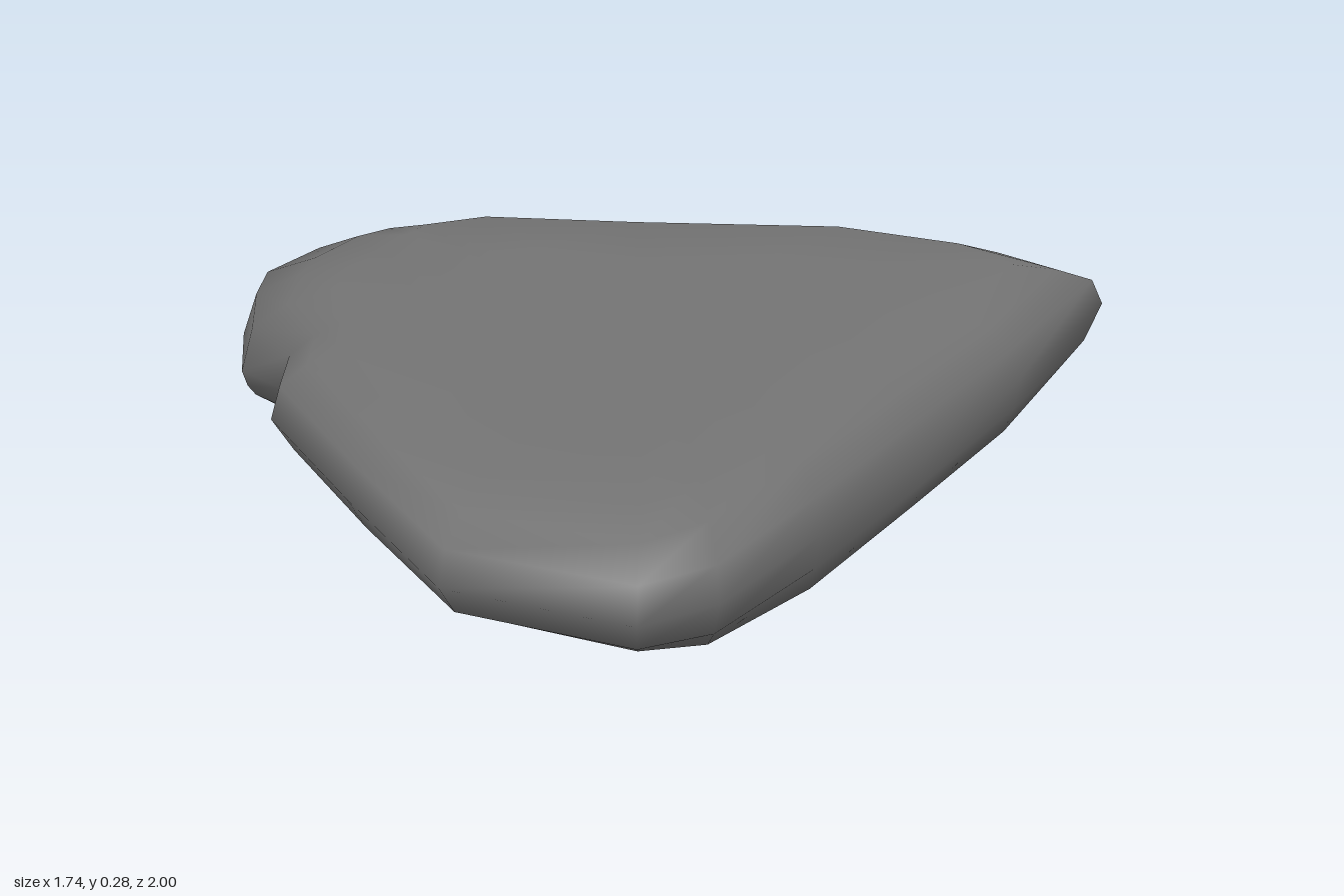
import * as THREE from 'three';

// Outline of the slab: x, z, height of the widest point, top bevel, bottom bevel
const OUTLINE = [
  [0.32, -0.94, 0.09, 0.20, 0.08],
  [0.68, -1.00, 0.07, 0.25, 0.07],
  [0.87, -0.90, 0.15, 0.24, 0.10],
  [0.86, -0.45, 0.13, 0.15, 0.03],
  [0.84, 0.00, 0.12, 0.13, 0.02],
  [0.825, 0.45, 0.13, 0.16, 0.03],
  [0.81, 0.82, 0.15, 0.25, 0.12],
  [0.72, 0.95, 0.14, 0.21, 0.16],
  [0.35, 1.00, 0.14, 0.19, 0.16],
  [0.00, 0.78, 0.14, 0.16, 0.12],
  [-0.36, 0.53, 0.13, 0.15, 0.11],
  [-0.45, 0.37, 0.12, 0.14, 0.13],
  [-0.67, 0.22, 0.06, 0.22, 0.03],
  [-0.80, 0.04, 0.06, 0.30, 0.04],
  [-0.87, -0.09, 0.06, 0.37, 0.04],
  [-0.86, -0.29, 0.06, 0.36, 0.04],
  [-0.78, -0.37, 0.07, 0.28, 0.05],
  [-0.59, -0.49, 0.08, 0.19, 0.06],
  [-0.20, -0.67, 0.09, 0.16, 0.07],
];
const CENTRE = [0.2, -0.02];
const TOP = 0.275;

// Rings from the underside up: each gives [height, distance pulled in to the centre]
const RINGS = [
  (w, t, b) => [0, b + 0.35],
  (w, t, b) => [0.008, b],
  (w, t, b) => [w * 0.45, b * 0.4],
  (w) => [w, 0],
  (w, t) => [w + (TOP - w) * 0.48, t * 0.13],
  (w, t) => [w + (TOP - w) * 0.78, t * 0.52],
  (w, t) => [TOP, t],
  (w, t) => [TOP + 0.003, t + 0.25],
];

function slabGeometry() {
  const n = OUTLINE.length;
  const pos = [];
  const index = [];
  for (const ring of RINGS) {
    for (const [x, z, w, t, b] of OUTLINE) {
      const [y, inset] = ring(w, t, b);
      const dx = x - CENTRE[0], dz = z - CENTRE[1];
      const k = Math.max(0.1, 1 - inset / Math.hypot(dx, dz));
      pos.push(CENTRE[0] + dx * k, y, CENTRE[1] + dz * k);
    }
  }
  const bottom = pos.length / 3, top = bottom + 1;
  pos.push(CENTRE[0], 0, CENTRE[1], CENTRE[0], TOP + 0.004, CENTRE[1]);

  // Skin between the rings, then a fan closing each end
  const last = (RINGS.length - 1) * n;
  for (let j = 0; j < n; j++) {
    const k = (j + 1) % n;
    for (let r = 0; r < last; r += n) {
      index.push(r + k, r + j, r + n + j, r + k, r + n + j, r + n + k);
    }
    index.push(bottom, j, k, top, last + k, last + j);
  }
  const geo = new THREE.BufferGeometry();
  geo.setAttribute('position', new THREE.Float32BufferAttribute(pos, 3));
  geo.setIndex(index);
  geo.computeVertexNormals();
  return geo;
}

export function createModel() {
  const group = new THREE.Group();
  group.name = 'flatStone';
  const slab = new THREE.Mesh(slabGeometry(), new THREE.MeshStandardMaterial({ color: 0x747474 }));
  slab.name = 'stoneSlab';
  group.add(slab);
  return group;
}
